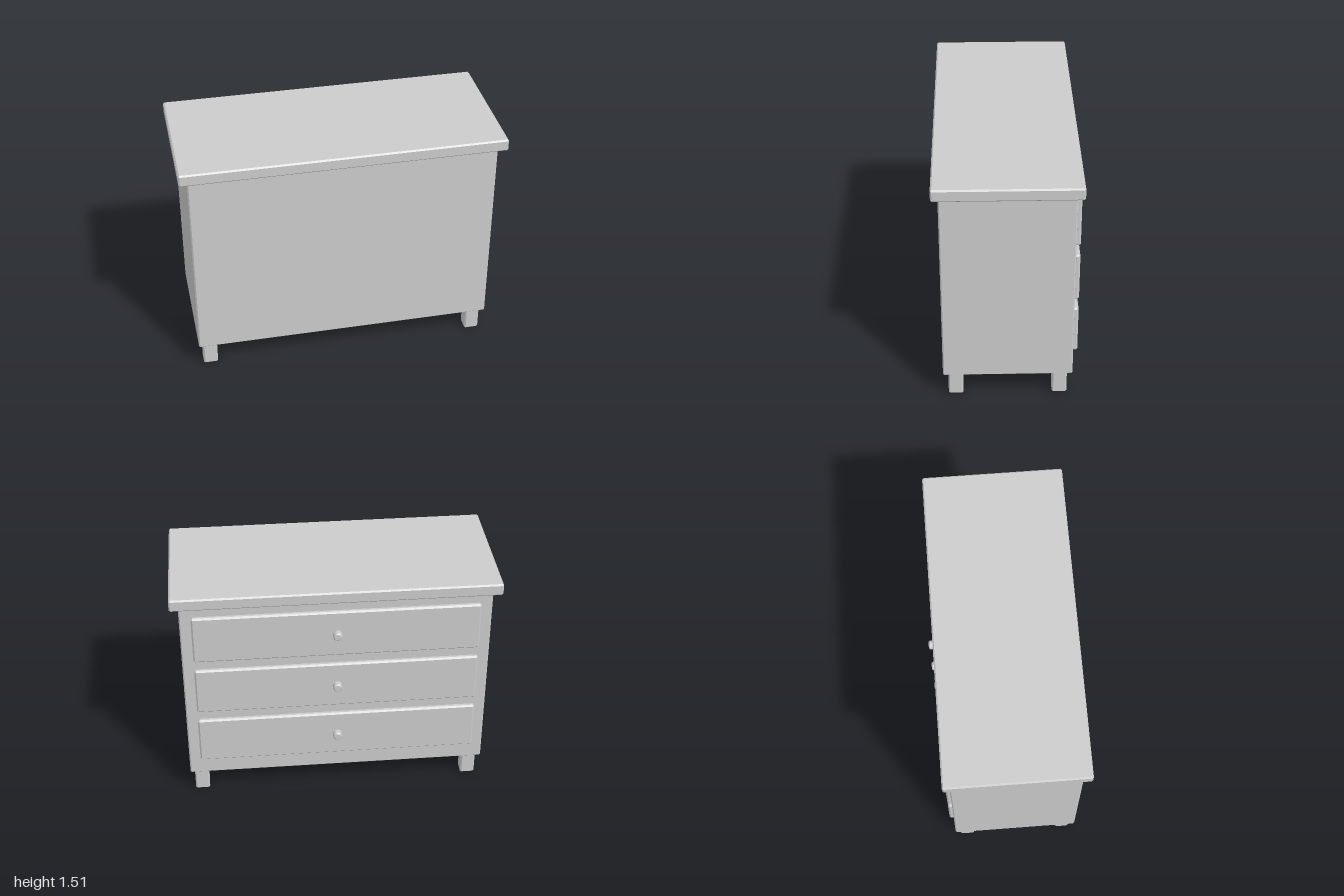
import * as THREE from 'three';
import { ConvexGeometry } from 'three/addons/geometries/ConvexGeometry.js';

const material = new THREE.MeshStandardMaterial({ color: 0xcccccc, flatShading: true });

// Box with chamfered edges, given by its extents on each axis
function chamferBox(name, [x0, x1], [y0, y1], [z0, z1], c) {
  const half = [(x1 - x0) / 2, (y1 - y0) / 2, (z1 - z0) / 2];
  const points = [];
  for (const sx of [-1, 1]) for (const sy of [-1, 1]) for (const sz of [-1, 1]) {
    // each corner becomes three points, one on each adjoining face
    for (let axis = 0; axis < 3; axis++) {
      const [x, y, z] = half.map((h, i) => (i === axis ? h : h - c));
      points.push(new THREE.Vector3(sx * x, sy * y, sz * z));
    }
  }
  const mesh = new THREE.Mesh(new ConvexGeometry(points), material);
  mesh.position.set((x0 + x1) / 2, (y0 + y1) / 2, (z0 + z1) / 2);
  mesh.name = name;
  return mesh;
}

// Short faceted knob pointing to -z, with a chamfered outer rim
function knob(y) {
  const profile = [[0, 0], [0.028, 0], [0.028, 0.034], [0.021, 0.042], [0, 0.042]]
    .map(([r, h]) => new THREE.Vector2(r, h));
  const mesh = new THREE.Mesh(new THREE.LatheGeometry(profile, 12), material);
  mesh.rotation.x = -Math.PI / 2;
  mesh.position.set(0, y, -0.409);
  mesh.name = 'knob';
  return mesh;
}

export function createModel() {
  const chest = new THREE.Group();
  chest.name = 'chestOfDrawers';

  // Carcass and overhanging top
  chest.add(chamferBox('body', [-0.948, 0.948], [0.164, 1.428], [-0.38, 0.413], 0.008));
  chest.add(chamferBox('top', [-1, 1], [1.43, 1.507], [-0.42, 0.453], 0.009));

  // Three drawer fronts on the -z side, each with a central knob
  for (let i = 0; i < 3; i++) {
    const y = 0.446 + i * 0.381;
    const drawer = new THREE.Group();
    drawer.name = 'drawer';
    drawer.add(chamferBox('drawerFront', [-0.877, 0.877], [y - 0.158, y + 0.158], [-0.411, -0.376], 0.01));
    drawer.add(knob(y));
    chest.add(drawer);
  }

  // Four square legs
  for (const x of [-0.875, 0.875]) for (const z of [-0.302, 0.335]) {
    chest.add(chamferBox('leg', [x - 0.046, x + 0.046], [0, 0.164], [z - 0.046, z + 0.046], 0.009));
  }
  return chest;
}
